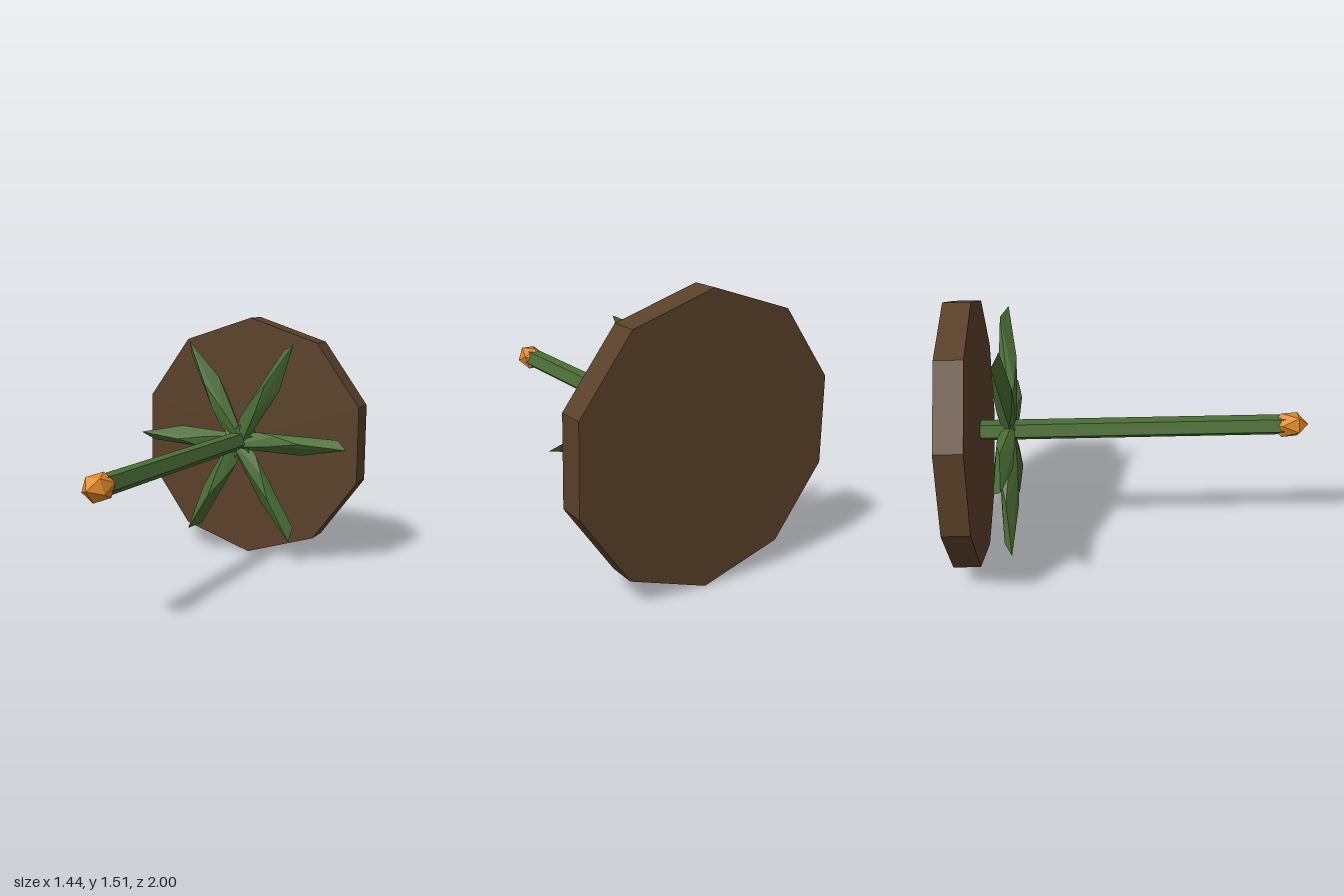
import * as THREE from 'three';
import { ConvexGeometry } from 'three/addons/geometries/ConvexGeometry.js';

const CENTRE_Y = 0.755;

function material(color) {
  return new THREE.MeshStandardMaterial({ color, flatShading: true });
}

// Cylinder along z with one corner pointing down
function prism(name, radius, sides, zBack, zFront, mat) {
  const geo = new THREE.CylinderGeometry(radius, radius, zFront - zBack, sides);
  geo.rotateX(Math.PI / 2);
  const mesh = new THREE.Mesh(geo, mat);
  mesh.name = name;
  mesh.position.z = (zBack + zFront) / 2;
  return mesh;
}

// Stretched twelve-cornered crystal, each corner paired with its opposite
function leafGeometry() {
  const half = [
    [0.43, -0.005, 0.01], [0.36, 0.045, -0.035], [0.14, -0.064, -0.015],
    [0.14, 0.015, 0.052], [-0.02, 0.05, 0.04], [0.05, 0.015, -0.05],
  ];
  const points = [];
  for (const [x, y, z] of half) {
    for (const s of [1, -1]) points.push(new THREE.Vector3(0.272 + s * x, s * y, s * z));
  }
  return new ConvexGeometry(points);
}

// Elongated crystal with one corner forward and two rings of five
function budGeometry() {
  const points = [new THREE.Vector3(0, 0, 0.11), new THREE.Vector3(0, 0, -0.11)];
  for (let i = 0; i < 5; i++) {
    const a = -Math.PI / 2 + (i * Math.PI * 2) / 5;
    const x = 0.07 * Math.cos(a), y = 0.07 * Math.sin(a);
    points.push(new THREE.Vector3(x, y, 0.049), new THREE.Vector3(-x, -y, -0.049));
  }
  return new ConvexGeometry(points);
}

export function createModel() {
  const group = new THREE.Group();
  group.name = 'plant';
  const soil = material(0x5a4029);
  const green = material(0x4a6e35);
  const orange = material(0xe08a28);

  const body = new THREE.Group();
  body.name = 'plantBody';
  body.position.y = CENTRE_Y;
  group.add(body);

  // Ten-sided base and five-sided stem
  body.add(prism('soilDisc', 0.755, 10, -1, -0.85, soil));
  body.add(prism('stem', 0.06, 5, -0.9, 0.88, green));

  // Six leaves around the stem
  const leaves = new THREE.Group();
  leaves.name = 'leaves';
  leaves.position.z = -0.697;
  const geo = leafGeometry();
  for (let i = 0; i < 6; i++) {
    const leaf = new THREE.Mesh(geo, green);
    leaf.name = 'leaf';
    leaf.rotation.z = (i * Math.PI) / 3;
    leaves.add(leaf);
  }
  body.add(leaves);

  // Bud at the tip of the stem
  const bud = new THREE.Mesh(budGeometry(), orange);
  bud.name = 'bud';
  bud.position.z = 0.885;
  body.add(bud);

  return group;
}
